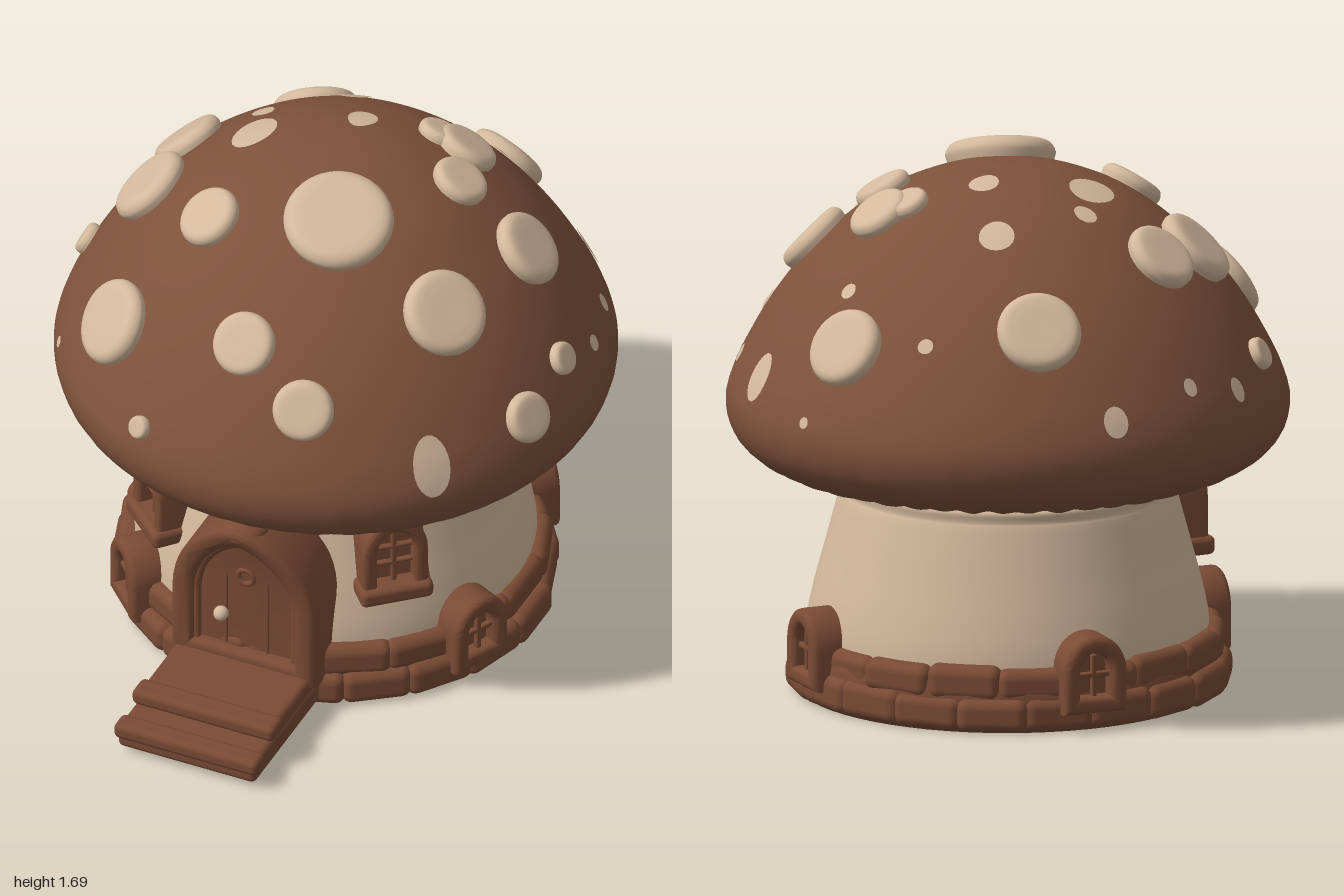
import * as THREE from 'three';
import { mergeVertices, toCreasedNormals } from 'three/addons/utils/BufferGeometryUtils.js';
import { RoundedBoxGeometry } from 'three/addons/geometries/RoundedBoxGeometry.js';

const mat = (name, color, side = THREE.FrontSide) =>
  new THREE.MeshStandardMaterial({ name, color, side });
const capBrown = mat('capBrown', 0x7e523b);
const woodBrown = mat('woodBrown', 0x7a4b35);
const cream = mat('cream', 0xd3b89c);
const CZ = -0.12; // z of the mushroom axis
const v2 = (pts) => pts.map(([x, y]) => new THREE.Vector2(x, y));

function add(parent, name, geometry, material, x = 0, y = 0, z = 0) {
  const mesh = new THREE.Mesh(geometry, material);
  mesh.name = name;
  mesh.position.set(x, y, z);
  parent.add(mesh);
  return mesh;
}
const block = (w, h, d, r = 0.02) => new RoundedBoxGeometry(w, h, d, 3, r);

// Cap profile from the underside to the apex
const capCurve = new THREE.SplineCurve(v2([[0.3, 0.74], [0.5, 0.715], [0.62, 0.697], [0.75, 0.73],
  [0.84, 0.8], [0.872, 0.9], [0.848, 1.0], [0.8, 1.1], [0.742, 1.2], [0.67, 1.3], [0.58, 1.4],
  [0.45, 1.51], [0.34, 1.575], [0.18, 1.632], [0, 1.652]]));
capCurve.arcLengthDivisions = 600;
const capLength = capCurve.getLength();

// Position along the profile for a radius on the upper side
function capParam(r) {
  let lo = 0.36, hi = 1;
  for (let i = 0; i < 30; i++) {
    const mid = (lo + hi) / 2;
    if (capCurve.getPointAt(mid).x > r) lo = mid; else hi = mid;
  }
  return lo;
}
function capPoint(u, az, lift = 0) {
  const p = capCurve.getPointAt(u), t = capCurve.getTangentAt(u);
  const n = new THREE.Vector3(t.y * Math.sin(az), -t.x, t.y * Math.cos(az));
  const pos = new THREE.Vector3(p.x * Math.sin(az), p.y, p.x * Math.cos(az)).addScaledVector(n, lift);
  return { pos, n, r: p.x };
}

// Cap with fine gill folds under the rim
function capGeometry() {
  let g = new THREE.LatheGeometry(capCurve.getSpacedPoints(60), 288);
  const p = g.attributes.position;
  for (let i = 0; i < p.count; i++) {
    const x = p.getX(i), y = p.getY(i), z = p.getZ(i);
    const w = THREE.MathUtils.clamp((0.9 - y) / 0.15, 0, 1);
    const az = Math.atan2(x, z);
    const f = w * (Math.sin(az * 48) * 0.7 + Math.sin(az * 31 + 1) * 0.3);
    p.setXYZ(i, x * (1 + f * 0.006), y + f * 0.006, z * (1 + f * 0.006));
  }
  g.deleteAttribute('uv');
  g.deleteAttribute('normal');
  g = mergeVertices(g, 1e-5);
  g.computeVertexNormals();
  return g;
}

// Raised, round-edged spot at (x, z)
function puck(parent, [x, z, r]) {
  const az = Math.atan2(x, z - CZ);
  const { pos, n } = capPoint(capParam(Math.hypot(x, z - CZ) * 0.96), az);
  const h = 0.22 * r + 0.018;
  const curve = new THREE.SplineCurve(v2([[r * 0.9, -0.04], [r * 0.99, 0], [r, h * 0.4],
    [r * 0.9, h * 0.83], [r * 0.65, h], [0, h]]));
  const m = add(parent, 'raisedSpot', new THREE.LatheGeometry(curve.getPoints(14), 32), cream, ...pos);
  m.quaternion.setFromUnitVectors(new THREE.Vector3(0, 1, 0), n);
}

// Thin painted spot that follows the cap
function flatSpot(parent, [x, z, rw, rh]) {
  const az = Math.atan2(x, z - CZ);
  const u0 = capParam(Math.min(Math.hypot(x, z - CZ), 0.86));
  const r0 = capPoint(u0, az).r;
  const g = new THREE.RingGeometry(0, 1, 24, 4);
  const p = g.attributes.position;
  for (let i = 0; i < p.count; i++) {
    const u = Math.min(u0 + p.getY(i) * rh / capLength, 0.999);
    p.setXYZ(i, ...capPoint(u, az + p.getX(i) * rw / r0, 0.005).pos);
  }
  g.computeVertexNormals();
  add(parent, 'flatSpot', g, cream);
}

// Arch outline: half width, base, spring line, top; k sets how round the top is
function archPath(Type, w, y0, ys, yt, k) {
  const s = new Type(), yc = ys + 0.55 * (yt - ys);
  s.moveTo(-w, y0);
  s.lineTo(w, y0);
  s.lineTo(w, ys);
  s.bezierCurveTo(w, yc, k * w, yt, 0, yt);
  s.bezierCurveTo(-k * w, yt, -w, yc, -w, ys);
  s.lineTo(-w, y0);
  return s;
}
function archSolid(w, y0, ys, yt, k, depth, bevel, t = 0) {
  const shape = archPath(THREE.Shape, w - bevel, y0 + bevel, ys, yt - bevel, k);
  if (t) shape.holes.push(archPath(THREE.Path, w - t + bevel, y0 + t * 0.6, ys, yt - t + bevel, k));
  const g = new THREE.ExtrudeGeometry(shape, { depth: depth - 2 * bevel, curveSegments: 14,
    bevelEnabled: bevel > 0, bevelSize: bevel, bevelThickness: bevel, bevelSegments: 3 });
  g.translate(0, 0, bevel);
  return toCreasedNormals(g, 0.7);
}
// Leans the upper part of the door surround forward
function lean(g) {
  const p = g.attributes.position;
  for (let i = 0; i < p.count; i++) {
    const d = Math.max(0, p.getY(i) - 0.38);
    p.setZ(i, p.getZ(i) + d * d * 0.75);
  }
  return toCreasedNormals(g, 0.7);
}

export function createModel() {
  const model = new THREE.Group();
  model.name = 'mushroomHouse';
  const axis = new THREE.Group();
  axis.name = 'mushroom';
  axis.position.z = CZ;
  model.add(axis);
  const ringGroup = (name, az, y = 0) => {
    const g = new THREE.Group();
    g.name = name;
    g.position.y = y;
    g.rotation.y = az;
    axis.add(g);
    return g;
  };

  // Cap and spots
  add(axis, 'cap', capGeometry(), capBrown);
  [[0.14, 0.16, 0.17], [0.53, 0.2, 0.135], [-0.28, 0.23, 0.1], [-0.51, 0.46, 0.135], [-0.01, 0.55, 0.1],
    [0.23, 0.62, 0.095], [-0.59, 0.01, 0.13], [-0.57, -0.23, 0.115], [-0.36, -0.74, 0.13],
    [0.26, -0.85, 0.125], [0.31, -0.44, 0.1], [0.22, -0.43, 0.068], [0.38, -0.24, 0.09],
    [0.62, -0.23, 0.12], [0.81, 0.17, 0.08], [0.82, -0.07, 0.052], [-0.83, -0.03, 0.052],
    [-0.31, 0.7, 0.037]].forEach((s) => puck(axis, s));
  [[-0.13, -0.53, 0.055, 0.06], [-0.33, -0.3, 0.035, 0.04], [-0.29, -0.15, 0.085, 0.07],
    [0, -0.31, 0.045, 0.055], [0.3, -0.68, 0.027, 0.027], [-0.02, -0.84, 0.025, 0.025],
    [-0.6, -0.71, 0.04, 0.05], [0.59, -0.7, 0.055, 0.08], [0.6, 0.47, 0.06, 0.1],
    [0.75, -0.46, 0.027, 0.03], [-0.74, -0.45, 0.025, 0.03], [-0.82, -0.26, 0.03, 0.04],
    [0.81, -0.26, 0.026, 0.026], [-0.73, 0.33, 0.018, 0.018], [0.36, -0.9, 0.018, 0.018]]
    .forEach((s) => flatSpot(axis, s));

  // Stalk and its floor
  const wall = [[0.625, 0.03], [0.622, 0.2], [0.6, 0.32], [0.565, 0.45], [0.525, 0.6], [0.515, 0.63],
    [0.518, 0.66], [0.5, 0.68], [0.49, 0.74]];
  add(axis, 'stalk', new THREE.LatheGeometry(new THREE.SplineCurve(v2(wall)).getPoints(32), 72), cream);
  add(axis, 'floor', new THREE.CircleGeometry(0.52, 64).rotateX(Math.PI / 2), cream, 0, 0.002, 0);

  // Brown plaster over the door and behind the windows
  const plaster = (name, y0, y1, a0, a1) => {
    const pts = new THREE.SplineCurve(v2(wall)).getPoints(64).filter((p) => p.y >= y0 && p.y <= y1);
    pts.forEach((p) => { p.x += 0.006; });
    add(axis, name, new THREE.LatheGeometry(pts, 24, a0, a1 - a0), woodBrown);
  };
  plaster('plasterBand', 0.61, 0.72, -0.72, 0.72);
  for (const s of [-1, 1]) plaster('windowPlaster', 0.36, 0.7, s * 0.75 - 0.2, s * 0.75 + 0.2);

  // Stone footing: a core ring and two courses of rounded stones
  add(axis, 'footing', new THREE.LatheGeometry(v2([[0.51, 0.001], [0.65, 0.001], [0.66, 0.09],
    [0.64, 0.18], [0.6, 0.19]]), 64), woodBrown, 0, 0, -0.01);
  let seed = 7;
  const rand = () => (seed = (seed * 16807) % 2147483647) / 2147483647;
  [[20, 0.7, 0.002, 0.105], [18, 0.675, 0.095, 0.1]].forEach(([n, r, y, h], row) => {
    for (let i = 0; i < n; i++) {
      const len = (2 * Math.PI * r / n) * (0.98 + rand() * 0.1);
      const tall = h + rand() * 0.012, out = r - rand() * 0.018;
      const g = ringGroup('footingStone', (i + row * 0.5) * 2 * Math.PI / n, y);
      add(g, 'stone', block(len, tall, 0.15, 0.035), woodBrown, 0, tall / 2, out - 0.08);
    }
  });

  // Small arched vents on the footing
  for (const deg of [65, 137, -135, -45]) {
    const g = ringGroup('footingVent', deg * Math.PI / 180);
    add(g, 'ventFrame', archSolid(0.105, 0.06, 0.19, 0.305, 0.55, 0.15, 0.02, 0.055), woodBrown, 0, 0, 0.56);
    add(g, 'ventBack', archSolid(0.07, 0.07, 0.19, 0.27, 0.55, 0.1, 0), woodBrown, 0, 0, 0.56);
    add(g, 'ventBar', block(0.018, 0.15, 0.02, 0.006), woodBrown, 0, 0.17, 0.68);
    add(g, 'ventCrossbar', block(0.11, 0.018, 0.02, 0.006), woodBrown, 0, 0.18, 0.68);
  }

  // Arched windows
  for (const s of [-1, 1]) {
    const g = ringGroup('window', s * 0.733);
    add(g, 'windowFrame', archSolid(0.105, 0.38, 0.54, 0.665, 0.5, 0.19, 0.014, 0.045), woodBrown, 0, 0, 0.45);
    add(g, 'windowPane', archSolid(0.075, 0.39, 0.54, 0.635, 0.5, 0.13, 0), woodBrown, 0, 0, 0.46);
    add(g, 'windowBar', block(0.016, 0.22, 0.02, 0.006), woodBrown, 0, 0.52, 0.605);
    for (const y of [0.49, 0.55]) {
      add(g, 'windowCrossbar', block(0.13, 0.014, 0.02, 0.006), woodBrown, 0, y, 0.605);
    }
    add(g, 'windowSill', block(0.235, 0.06, 0.17), woodBrown, 0, 0.39, 0.575);
  }

  // Door, surround and fittings
  const door = new THREE.Group();
  door.name = 'entrance';
  model.add(door);
  add(door, 'doorFrame', lean(archSolid(0.245, 0.1, 0.36, 0.675, 0.3, 0.23, 0.025, 0.075)), woodBrown, 0.005, 0, 0.35);
  add(door, 'doorInnerFrame', lean(archSolid(0.19, 0.12, 0.36, 0.62, 0.25, 0.2, 0.012, 0.035)), woodBrown, 0.005, 0, 0.36);
  add(door, 'doorPanel', lean(archSolid(0.175, 0.12, 0.36, 0.6, 0.25, 0.18, 0)), woodBrown, 0.005, 0, 0.36);
  for (const x of [-0.065, 0.075]) {
    add(door, 'plankSeam', block(0.01, 0.3, 0.012, 0.004), woodBrown, x, 0.31, 0.541);
  }
  add(door, 'peephole', new THREE.TorusGeometry(0.026, 0.009, 10, 24), woodBrown, 0.005, 0.45, 0.55);
  add(door, 'doorKnob', new THREE.SphereGeometry(0.024, 20, 14), cream, -0.075, 0.29, 0.56);
  const key = add(door, 'keystone', new THREE.SphereGeometry(1, 24, 16), woodBrown, 0.005, 0.645, 0.55);
  key.scale.set(0.075, 0.042, 0.085);

  // Steps
  const steps = new THREE.Group();
  steps.name = 'steps';
  model.add(steps);
  add(steps, 'lowerStep', block(0.47, 0.08, 0.5), woodBrown, 0.005, 0.06, 0.74);
  add(steps, 'lowerNosing', block(0.49, 0.055, 0.075), woodBrown, 0.005, 0.082, 0.9625);
  add(steps, 'upperStep', block(0.46, 0.09, 0.38), woodBrown, 0.005, 0.095, 0.67);
  add(steps, 'upperNosing', block(0.485, 0.055, 0.085), woodBrown, 0.005, 0.126, 0.83);
  return model;
}
